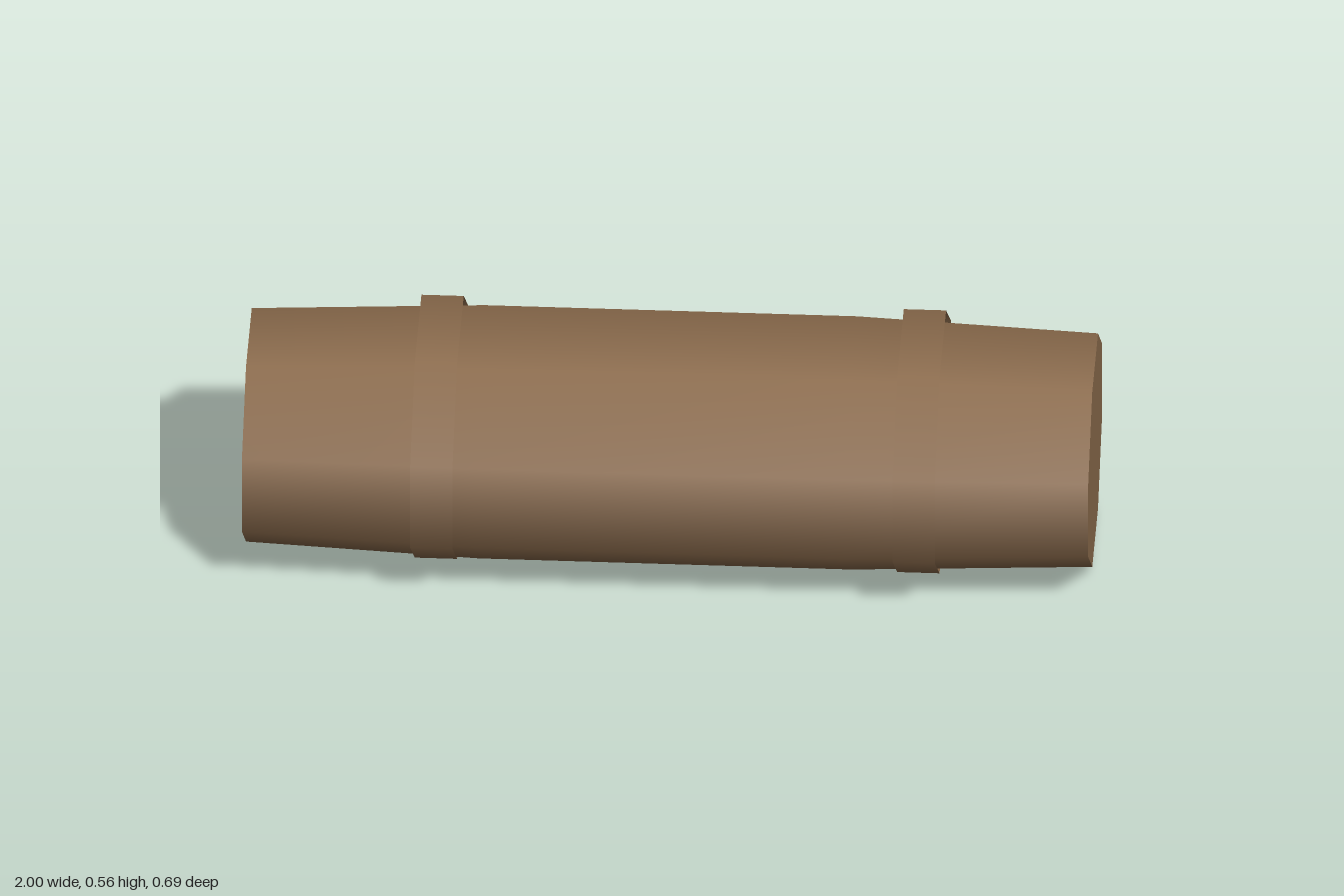
import * as THREE from 'three';

const SIDES = 8;
const PHASE = Math.PI / SIDES; // puts flat faces on top, bottom, front and back

// Eight-sided shell along x; profile is a list of [x, relative radius]
function shell(profile, radiusY, radiusZ) {
  const points = profile.map(([x, r]) => new THREE.Vector2(r, x));
  const geometry = new THREE.LatheGeometry(points, SIDES, PHASE);
  geometry.rotateZ(-Math.PI / 2);
  geometry.scale(1, radiusY, radiusZ);
  return geometry;
}

export function createModel() {
  const model = new THREE.Group();
  model.name = 'barrel';
  const wood = new THREE.MeshStandardMaterial({ color: 0x8b6b4c, side: THREE.DoubleSide });
  wood.name = 'brown wood';

  const add = (name, geometry, y) => {
    const mesh = new THREE.Mesh(geometry, wood);
    mesh.name = name;
    mesh.position.y = y;
    model.add(mesh);
  };

  // Body: straight middle, slightly tapered ends
  const midY = 0.2685;
  const radiusY = midY / Math.cos(PHASE);
  const radiusZ = 0.328 / Math.cos(PHASE);
  const endScale = 0.922;
  add('body', shell([[-1, endScale], [-0.45, 1], [0.43, 1], [1, endScale]], radiusY, radiusZ), midY);

  // Flat end caps
  for (const side of [-1, 1]) {
    const cap = new THREE.CircleGeometry(endScale, SIDES, PHASE);
    cap.rotateY(side * Math.PI / 2);
    cap.scale(1, radiusY, radiusZ);
    cap.translate(side, 0, 0);
    add(side > 0 ? 'leftEndCap' : 'rightEndCap', cap, midY);
  }

  // Open hoops standing slightly clear of the body
  const hoops = [['rightHoop', -0.6, -0.5], ['leftHoop', 0.54, 0.64]];
  for (const [name, from, to] of hoops) {
    add(name, shell([[from, 1], [to, 1]], 0.277 / Math.cos(PHASE), 0.347 / Math.cos(PHASE)), 0.279);
  }
  return model;
}
